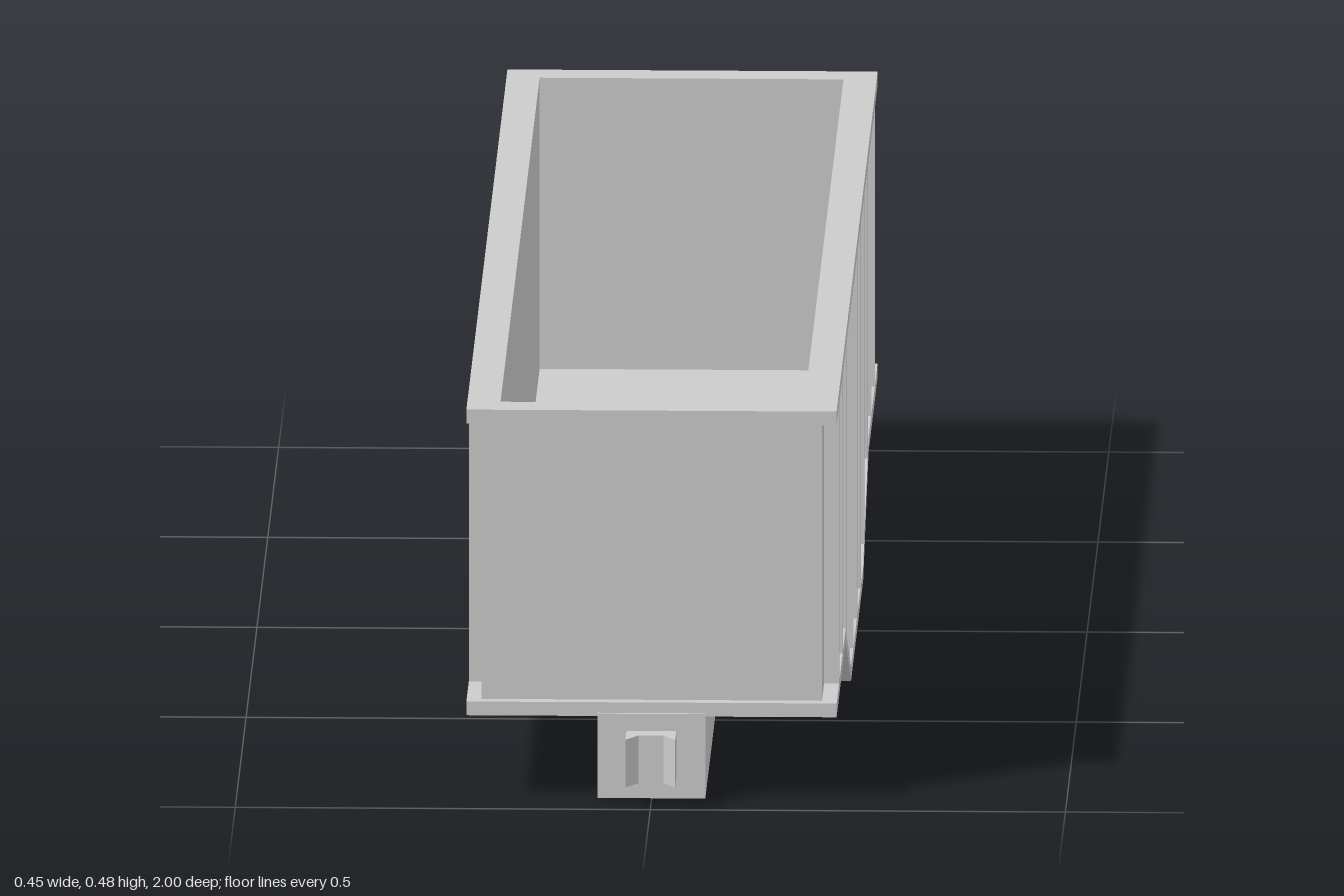
import * as THREE from 'three';

const material = new THREE.MeshStandardMaterial({ color: 0xcccccc, flatShading: true });

// Underside profile as [z, y]: flat ends, sloping down to a deep middle
const belly = [[-0.53, 0.103], [-0.28, 0], [0.28, 0], [0.53, 0.103]];

function bellyY(z) {
  const t = THREE.MathUtils.clamp((0.53 - Math.abs(z)) / 0.25, 0, 1);
  return 0.103 * (1 - t);
}

function add(parent, name, geometry, x = 0, y = 0, z = 0) {
  const mesh = new THREE.Mesh(geometry, material);
  mesh.name = name;
  mesh.position.set(x, y, z);
  parent.add(mesh);
  return mesh;
}

const toShape = (points) => new THREE.Shape(points.map(([a, b]) => new THREE.Vector2(a, b)));

// Extrude a [z, y] outline across the car, centred on x
function acrossX(points, width) {
  return new THREE.ExtrudeGeometry(toShape(points), { depth: width, bevelEnabled: false })
    .translate(0, 0, -width / 2)
    .rotateY(-Math.PI / 2);
}

// Extrude a rectangle with a rectangular opening upwards from y = 0
function frame(halfX, halfZ, holeX, holeZ, height) {
  const rect = (x, z) => [[-x, -z], [x, -z], [x, z], [-x, z]];
  const shape = toShape(rect(halfX, halfZ));
  shape.holes.push(toShape(rect(holeX, holeZ)));
  return new THREE.ExtrudeGeometry(shape, { depth: height, bevelEnabled: false })
    .rotateX(-Math.PI / 2);
}

export function createModel() {
  const car = new THREE.Group();
  car.name = 'gondolaCar';

  // Open box: walls, top rim and the solid hull below the floor
  add(car, 'walls', frame(0.205, 0.93, 0.183, 0.9, 0.345), 0, 0.119, 0);
  add(car, 'topRim', frame(0.223, 0.945, 0.183, 0.9, 0.017), 0, 0.463, 0);
  const lift = belly.map(([z, y]) => [z, y + 0.01]);
  add(car, 'hull', acrossX([[-0.93, 0.113], ...lift, [0.93, 0.113], [0.93, 0.121], [-0.93, 0.121]], 0.41));

  // Bottom flange following the underside
  const upper = [[0.525, 0.12], [0.277, 0.017], [-0.277, 0.017], [-0.525, 0.12]];
  add(car, 'bottomFlange', acrossX(
    [[-0.945, 0.103], ...belly, [0.945, 0.103], [0.945, 0.12], ...upper, [-0.945, 0.12]], 0.446));

  // Vertical ribs on both sides
  const ribs = new THREE.Group();
  ribs.name = 'sideRibs';
  car.add(ribs);
  for (const side of [-1, 1]) {
    for (let i = -5; i <= 5; i++) {
      const z = i * 0.165;
      const bottom = bellyY(z) + 0.01;
      const height = 0.465 - bottom;
      add(ribs, 'rib', new THREE.BoxGeometry(0.02, height, 0.016), side * 0.213, bottom + height / 2, z);
    }
  }

  // Centre sill running under the floor
  add(car, 'centreSill', new THREE.BoxGeometry(0.13, 0.104, 1.9), 0, 0.055, 0);

  // Notched coupler at each end
  const couplerShape = toShape([
    [-0.03, -0.945], [-0.03, -1], [-0.015, -0.975], [0.015, -0.975], [0.03, -1], [0.03, -0.945],
  ]);
  for (const end of [0, Math.PI]) {
    const geometry = new THREE.ExtrudeGeometry(couplerShape, { depth: 0.059, bevelEnabled: false })
      .rotateX(-Math.PI / 2);
    const coupler = add(car, end ? 'rearCoupler' : 'frontCoupler', geometry, 0, 0.027, 0);
    coupler.rotation.y = end;
  }

  return car;
}
